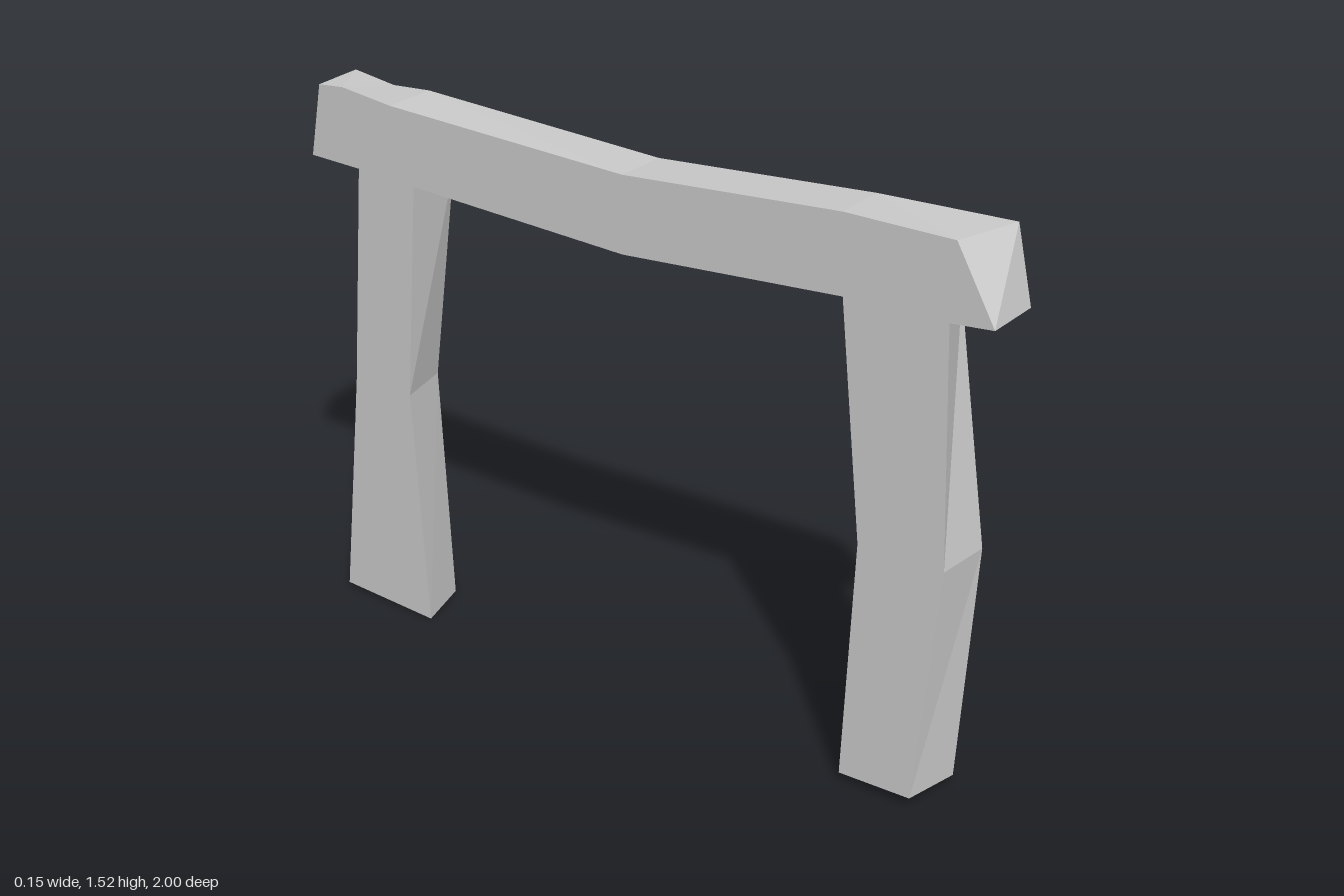
import * as THREE from 'three';

const HALF = 0.076; // half thickness of the frame
const material = new THREE.MeshStandardMaterial({ color: 0xcccccc, flatShading: true });

// Slab between two outlines of [z, y] points, one on the +x side and one on the -x side.
// Points run anticlockwise as seen from +x; edges listed in openEdges get no face.
function slab(name, left, right, openEdges) {
  const pos = [];
  const L = left.map(([z, y]) => [HALF, y, z]);
  const R = right.map(([z, y]) => [-HALF, y, z]);
  const tri = (a, b, c) => pos.push(...a, ...b, ...c);
  const fill = (pts) =>
    THREE.ShapeUtils.triangulateShape(pts.map(([z, y]) => new THREE.Vector2(-z, y)), []);

  for (const [a, b, c] of fill(left)) tri(L[a], L[b], L[c]);
  for (const [a, b, c] of fill(right)) tri(R[a], R[c], R[b]);
  L.forEach((p, i) => {
    if (openEdges.includes(i)) return;
    const j = (i + 1) % L.length;
    tri(p, R[i], R[j]);
    tri(p, R[j], L[j]);
  });

  const geometry = new THREE.BufferGeometry();
  geometry.setAttribute('position', new THREE.Float32BufferAttribute(pos, 3));
  geometry.computeVertexNormals();
  const mesh = new THREE.Mesh(geometry, material);
  mesh.name = name;
  return mesh;
}

export function createModel() {
  const group = new THREE.Group();
  group.name = 'crookedFrame';

  // Sagging beam, open underneath where the legs join
  group.add(slab('beam',
    [[1, 1.325], [0.83, 1.32], [0.66, 1.31], [0, 1.265], [-0.65, 1.295], [-0.815, 1.305], [-1, 1.31],
      [-0.97, 1.508], [-0.84, 1.49], [-0.72, 1.498], [0, 1.465], [0.6, 1.507], [0.955, 1.518]],
    [[0.99, 1.322], [0.88, 1.312], [0.61, 1.308], [0, 1.265], [-0.655, 1.295], [-0.84, 1.305], [-1, 1.31],
      [-0.96, 1.51], [-0.88, 1.517], [-0.72, 1.498], [0, 1.468], [0.6, 1.51], [0.885, 1.508]],
    [1, 4]));

  // Legs, bent at the knee and open at the top
  group.add(slab('frontLeg',
    [[0.83, 1.32], [0.93, 0.69], [0.9, 0.028], [0.63, 0.028], [0.68, 0.69], [0.66, 1.31]],
    [[0.88, 1.312], [0.91, 0.69], [0.86, 0.03], [0.66, 0.025], [0.68, 0.69], [0.61, 1.308]],
    [5]));
  group.add(slab('backLeg',
    [[-0.65, 1.295], [-0.735, 0.69], [-0.705, 0.004], [-0.905, 0.013], [-0.88, 0.69], [-0.815, 1.305]],
    [[-0.655, 1.295], [-0.705, 0.69], [-0.67, 0], [-0.975, 0.015], [-0.895, 0.69], [-0.84, 1.305]],
    [5]));

  return group;
}
